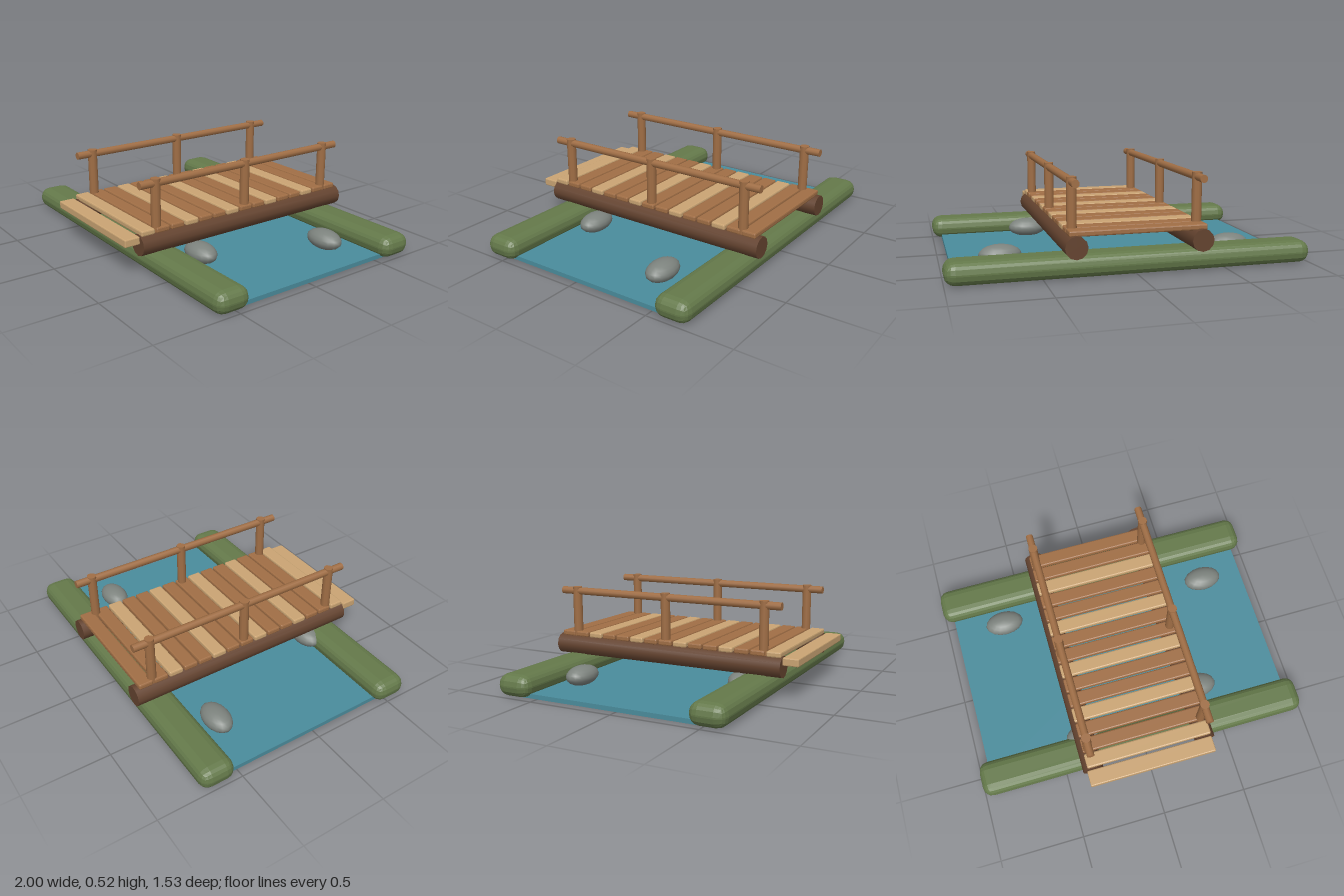
import * as THREE from 'three';
import { RoundedBoxGeometry } from 'three/addons/geometries/RoundedBoxGeometry.js';

function material(name, color) {
  const m = new THREE.MeshStandardMaterial({ color });
  m.name = name;
  return m;
}

export function createModel() {
  const mats = {
    grass: material('grass green', 0x64794a),
    water: material('water blue', 0x4a8c9c),
    stone: material('stone grey', 0x7d837e),
    bark: material('dark bark', 0x64432f),
    wood: material('brown wood', 0xa06e45),
    pale: material('pale wood', 0xcaa473),
  };
  const group = new THREE.Group();
  group.name = 'footbridge';

  const add = (name, geometry, mat, x, y, z) => {
    const mesh = new THREE.Mesh(geometry, mat);
    mesh.name = name;
    mesh.position.set(x, y, z);
    group.add(mesh);
    return mesh;
  };

  // Box with bevelled edges and flat facets
  const bevelBox = (w, h, d, r, segments) => {
    const g = new RoundedBoxGeometry(w, h, d, segments, r);
    g.computeVertexNormals();
    return g;
  };

  // Stream and its two banks
  add('water', new THREE.BoxGeometry(1.89, 0.025, 1.14), mats.water, 0, 0.0125, -0.05);
  const bank = bevelBox(2, 0.124, 0.205, 0.058, 2);
  add('frontBank', bank, mats.grass, 0, 0.063, 0.525);
  add('backBank', bank, mats.grass, 0, 0.063, -0.633);

  // Stones in the stream
  const stone = new THREE.SphereGeometry(1, 16, 10);
  [[-0.635, -0.423], [0.68, -0.37], [0.417, 0.315], [-0.33, 0.43]].forEach(([x, z], i) => {
    add(`stone${i + 1}`, stone, mats.stone, x, 0.073, z).scale.set(0.118, 0.056, 0.076);
  });

  // Log beams, posts and handrails, mirrored on both sides
  const beam = new THREE.CylinderGeometry(0.061, 0.061, 1.435, 12).rotateX(Math.PI / 2);
  const rail = new THREE.CylinderGeometry(0.022, 0.022, 1.405, 10).rotateX(Math.PI / 2);
  const post = new THREE.CylinderGeometry(0.027, 0.027, 0.295, 10);
  for (const [side, s] of [['left', 1], ['right', -1]]) {
    add(`${side}Beam`, beam, mats.bark, s * 0.342, 0.175, -0.048);
    add(`${side}Handrail`, rail, mats.wood, s * 0.343, 0.5, -0.048);
    [0.555, -0.047, -0.65].forEach((z, i) => {
      add(`${side}Post${i + 1}`, post, mats.wood, s * 0.343, 0.3775, z);
    });
  }

  // Deck planks: every third one is pale
  const plank = bevelBox(0.75, 0.032, 0.084, 0.008, 1);
  for (let i = 0; i < 15; i++) {
    add(`plank${i + 1}`, plank, i % 3 ? mats.wood : mats.pale, 0, 0.243, 0.622 - i * 0.0944);
  }

  // Entry step at the front
  add('step', bevelBox(0.756, 0.044, 0.092, 0.006, 1), mats.pale, -0.003, 0.213, 0.721);

  return group;
}
